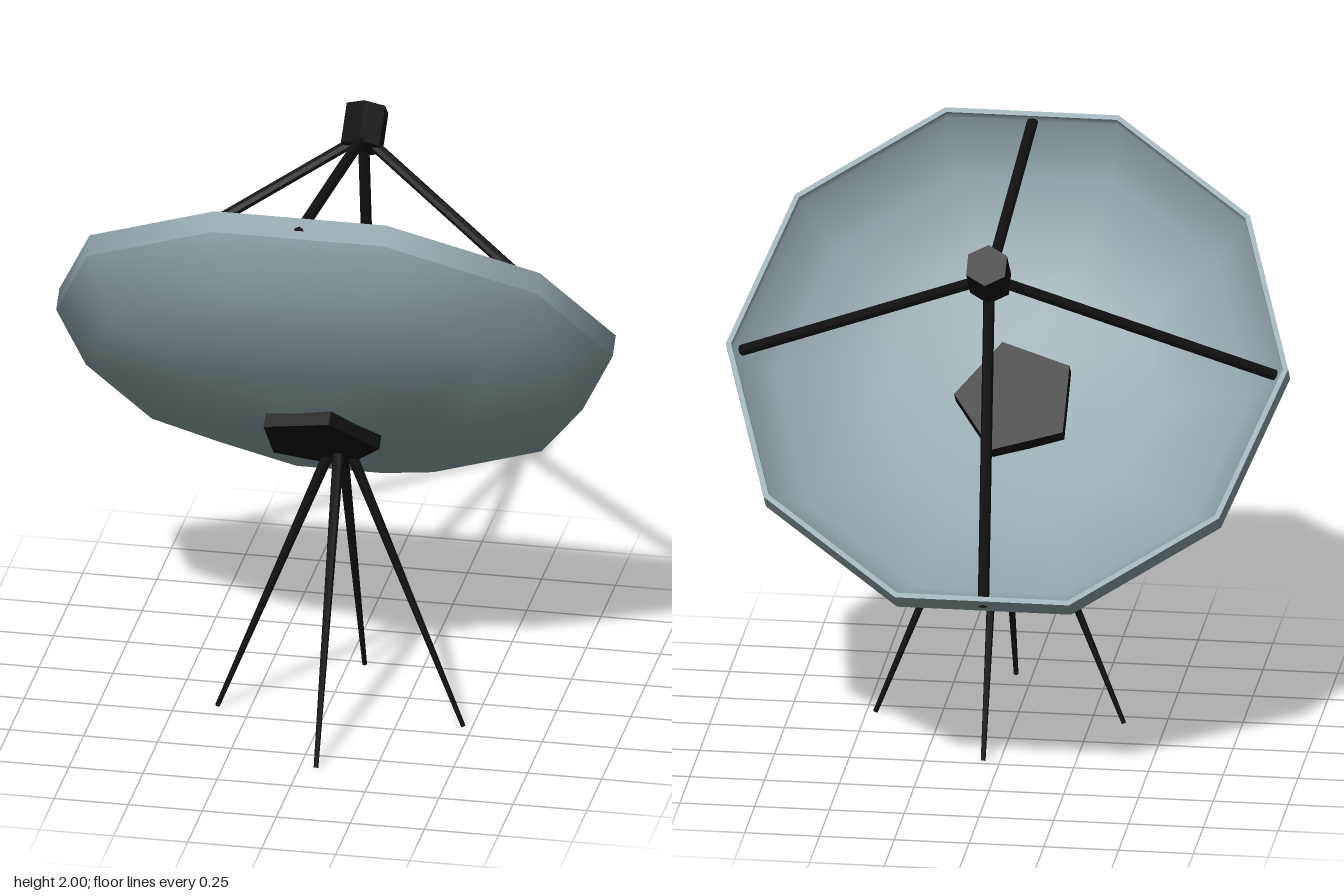
import * as THREE from 'three';

export function createModel() {
  const model = new THREE.Group();
  model.name = 'dishAntenna';

  const dishGrey = new THREE.MeshStandardMaterial({ color: 0x90a4aa });
  dishGrey.name = 'dishGrey';
  const frameBlack = new THREE.MeshStandardMaterial({ color: 0x111111, flatShading: true });
  frameBlack.name = 'frameBlack';

  const add = (parent, name, geometry, material) => {
    const mesh = new THREE.Mesh(geometry, material);
    mesh.name = name;
    parent.add(mesh);
    return mesh;
  };

  // Straight rod between two points, optionally tapered
  const rod = (parent, name, from, to, rFrom, rTo, sides) => {
    const dir = to.clone().sub(from);
    const mesh = add(parent, name, new THREE.CylinderGeometry(rTo, rFrom, dir.length(), sides), frameBlack);
    mesh.position.copy(from).add(to).multiplyScalar(0.5);
    mesh.quaternion.setFromUnitVectors(new THREE.Vector3(0, 1, 0), dir.normalize());
    return mesh;
  };

  // Tilted head: local y is the dish axis, pointing up and to the back
  const head = new THREE.Group();
  head.name = 'dishHead';
  head.position.set(0, 1.37, -0.045);
  head.rotation.x = -Math.PI / 4;
  model.add(head);

  // Ten-sided dish: flattened hemispheres joined by a straight band and a rim
  const bowl = (radius, depth, top) => [0, 30, 60, 90].map((deg) => {
    const t = THREE.MathUtils.degToRad(deg);
    return [radius * Math.sin(t), top - depth * Math.cos(t)];
  });
  const lathe = (name, points) => add(head, name, new THREE.LatheGeometry(
    points.map(([r, y]) => new THREE.Vector2(r, y)), 10, Math.PI / 10), dishGrey);
  lathe('dishOuter', bowl(0.94, 0.367, -0.074));
  lathe('dishBand', [[0.94, -0.074], [0.94, 0]]);
  lathe('dishRim', [[0.94, 0], [0.922, 0]]);
  lathe('dishInner', [...bowl(0.92, 0.367, -0.034), [0.922, 0]].reverse());

  // Receiver at the focus, held by four struts
  add(head, 'receiver', new THREE.CylinderGeometry(0.075, 0.075, 0.142, 6), frameBlack)
    .position.set(0, 0.653, 0);
  const focus = new THREE.Vector3(0, 0.626, 0);
  for (let i = 0; i < 4; i++) {
    const a = i * Math.PI / 2;
    const foot = new THREE.Vector3(Math.cos(a) * 0.89, -0.05, Math.sin(a) * 0.89);
    rod(head, 'receiverStrut', foot, focus, 0.019, 0.019, 8);
  }

  // Five-sided mounting plate passing through the dish centre
  add(head, 'mountPlate', new THREE.CylinderGeometry(0.207, 0.207, 0.145, 5, 1, false, Math.PI / 2), frameBlack)
    .position.set(0, -0.395, 0);

  // Four tapered legs spreading from under the plate
  const legTop = new THREE.Vector3(0.055, 1.06, 0.185);
  for (let i = 0; i < 4; i++) {
    const a = i * Math.PI / 2;
    const foot = new THREE.Vector3(0.055 + Math.cos(a) * 0.415, 0.005, 0.185 + Math.sin(a) * 0.415);
    rod(model, 'leg', foot, legTop, 0.008, 0.02, 8);
  }

  return model;
}
